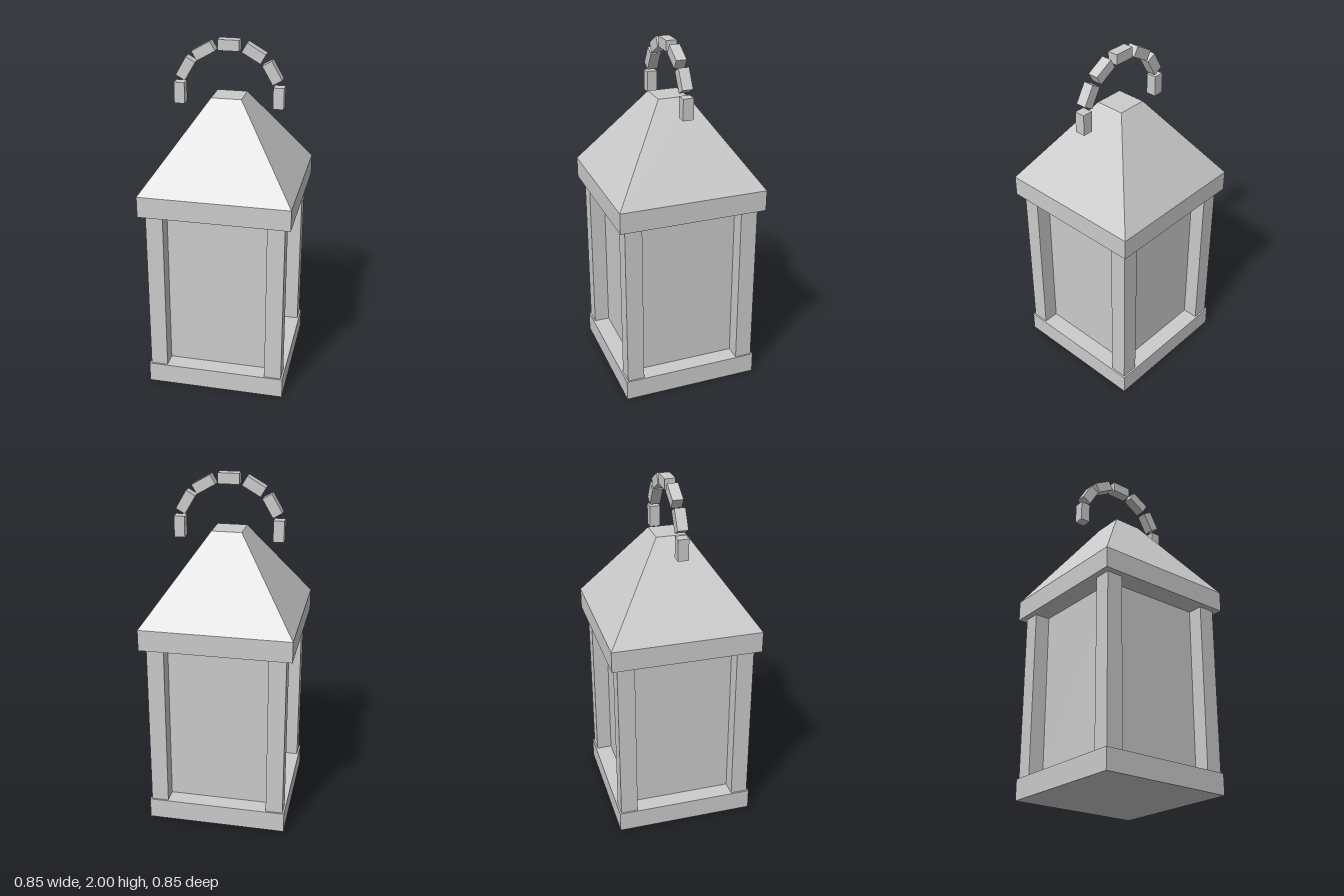
import * as THREE from 'three';

export function createModel() {
  const lantern = new THREE.Group();
  lantern.name = 'lantern';
  const material = new THREE.MeshStandardMaterial({ color: 0xcccccc, flatShading: true });

  const add = (name, geometry, x, y, z) => {
    const mesh = new THREE.Mesh(geometry, material);
    mesh.name = name;
    mesh.position.set(x, y, z);
    lantern.add(mesh);
    return mesh;
  };

  // Base slab, recessed panes and eaves
  add('base', new THREE.BoxGeometry(0.8, 0.12, 0.8), 0, 0.06, 0);
  add('panes', new THREE.BoxGeometry(0.6, 0.97, 0.6), 0, 0.605, 0);
  add('eaves', new THREE.BoxGeometry(0.85, 0.12, 0.85), 0, 1.15, 0);

  // Corner posts
  const post = new THREE.BoxGeometry(0.098, 0.97, 0.098);
  for (const x of [-1, 1]) {
    for (const z of [-1, 1]) add('cornerPost', post, x * 0.341, 0.605, z * 0.341);
  }

  // Truncated pyramid roof
  const roof = new THREE.CylinderGeometry(0.085 * Math.SQRT2, 0.425 * Math.SQRT2, 0.48, 4);
  roof.rotateY(Math.PI / 4);
  add('roof', roof, 0, 1.45, 0);

  // Handle: seven separate links along a half circle
  const link = new THREE.BoxGeometry(0.06, 0.12, 0.06);
  for (let i = 0; i <= 6; i++) {
    const a = (i / 6) * Math.PI;
    add('handleLink', link, 0.28 * Math.cos(a), 1.69 + 0.28 * Math.sin(a), 0).rotation.z = a;
  }

  return lantern;
}
